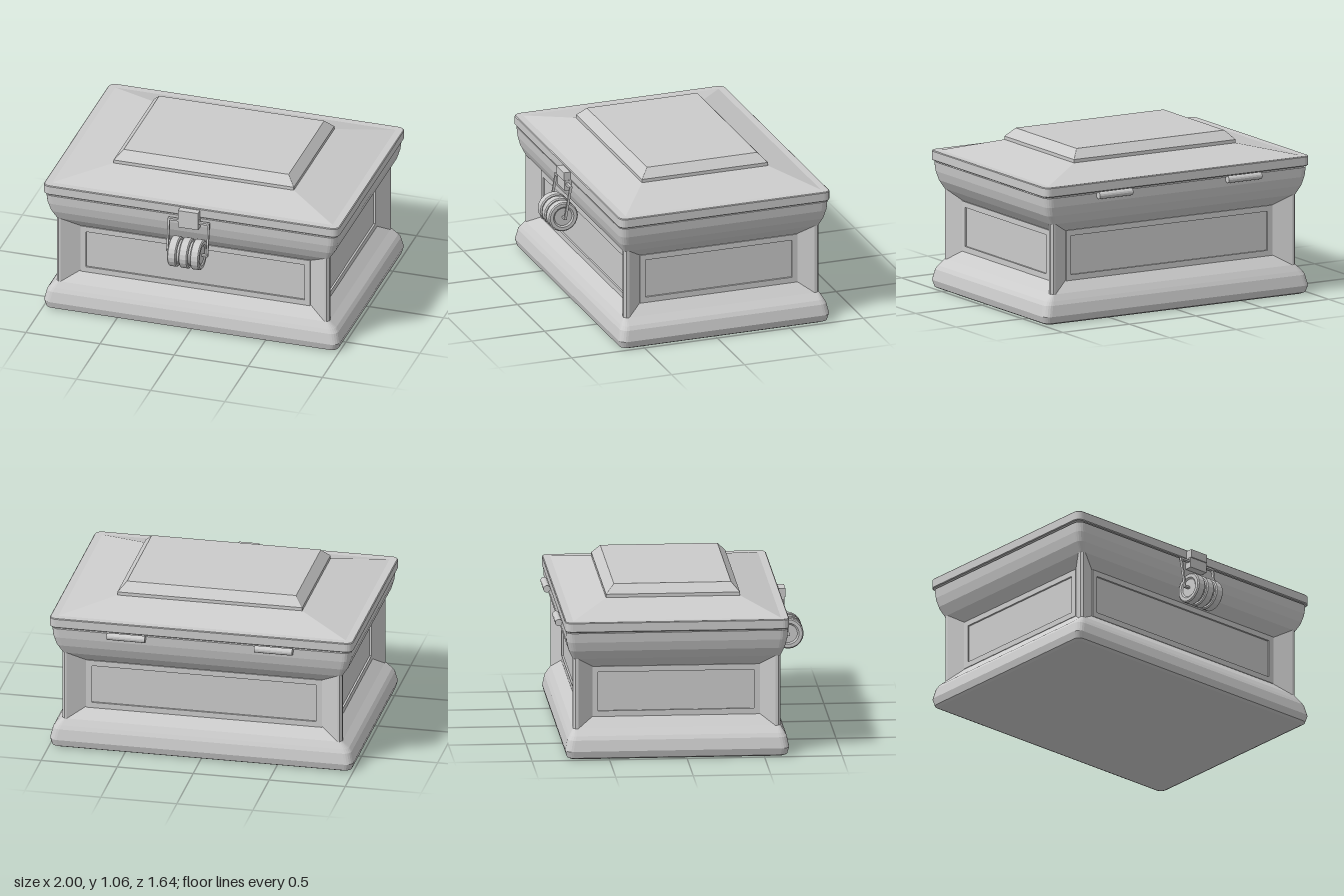
import * as THREE from 'three';

const Z0 = -0.06; // middle of the chest; the lock hangs further forward
const mat = new THREE.MeshStandardMaterial({ color: 0xcccccc, flatShading: true });
const smoothMat = new THREE.MeshStandardMaterial({ color: 0xcccccc });

function add(parent, name, geometry, x = 0, y = 0, z = 0, material = mat) {
  const mesh = new THREE.Mesh(geometry, material);
  mesh.name = name;
  mesh.position.set(x, y, z);
  parent.add(mesh);
  return mesh;
}

// Rounded rectangle as a loop of points at one height
function roundedLoop([hx, hz, y, r]) {
  const points = [], steps = 5;
  const corners = [[1, 1], [-1, 1], [-1, -1], [1, -1]];
  corners.forEach(([sx, sz], c) => {
    for (let i = 0; i <= steps; i++) {
      const a = (c + i / steps) * Math.PI / 2;
      points.push([sx * (hx - r) + r * Math.cos(a), y, sz * (hz - r) + r * Math.sin(a)]);
    }
  });
  return points;
}

// Moulding made from [half width, half depth, height, corner radius] sections
function moulding(sections) {
  const loops = sections.map(roundedLoop), n = loops[0].length, pos = [];
  const tri = (a, b, c) => pos.push(...a, ...b, ...c);
  const first = loops[0], last = loops[loops.length - 1];
  for (let i = 0; i < n; i++) {
    const j = (i + 1) % n;
    for (let k = 0; k < loops.length - 1; k++) {
      const lo = loops[k], hi = loops[k + 1];
      tri(lo[i], hi[i], hi[j]);
      tri(lo[i], hi[j], lo[j]);
    }
    tri([0, first[0][1], 0], first[i], first[j]);
    tri([0, last[0][1], 0], last[j], last[i]);
  }
  const g = new THREE.BufferGeometry();
  g.setAttribute('position', new THREE.Float32BufferAttribute(pos, 3));
  g.computeVertexNormals();
  return g;
}

// Plan of the body: chamfered corner posts around four recessed walls
function bodyPlan() {
  const X = 0.92, Z = 0.67, d = 0.07, r = 0.015;
  const quarter = [[X - d, 0], [X - d, 0.53], [X, 0.635], [X, Z - r], [X - r, Z], [0.89, Z], [0.77, Z - d], [0, Z - d]];
  const flip = (sx, sz, rev) => {
    const p = quarter.map(([x, z]) => new THREE.Vector2(sx * x, sz * z));
    return rev ? p.reverse().slice(0, -1) : p.slice(0, -1);
  };
  return new THREE.Shape([...flip(1, 1), ...flip(-1, 1, true), ...flip(-1, -1), ...flip(1, -1, true)]);
}

// Thin border standing proud of a recessed wall
function panelFrame(hw, hh, border) {
  const rect = (Type, w, h) => new Type([[-w, -h], [w, -h], [w, h], [-w, h]].map(p => new THREE.Vector2(...p)));
  const s = rect(THREE.Shape, hw, hh);
  s.holes.push(rect(THREE.Path, hw - border, hh - border));
  return new THREE.ExtrudeGeometry(s, { depth: 0.012, bevelEnabled: false });
}

export function createModel() {
  const model = new THREE.Group();
  model.name = 'chest';
  const chest = new THREE.Group();
  chest.name = 'box';
  chest.position.z = Z0;
  model.add(chest);

  add(chest, 'base', moulding([
    [0.965, 0.69, 0, 0.04], [0.985, 0.71, 0.01, 0.045], [0.998, 0.722, 0.055, 0.05],
    [0.982, 0.708, 0.125, 0.05], [0.965, 0.695, 0.15, 0.045], [0.92, 0.67, 0.19, 0.02], [0.85, 0.6, 0.262, 0.005],
  ]));
  const posts = new THREE.ExtrudeGeometry(bodyPlan(), { depth: 0.46, bevelEnabled: false });
  posts.rotateX(-Math.PI / 2);
  add(chest, 'cornerPostsAndWalls', posts, 0, 0.19, 0);
  add(chest, 'upperMoulding', moulding([
    [0.85, 0.6, 0.58, 0.005], [0.92, 0.67, 0.65, 0.02], [0.96, 0.698, 0.71, 0.045],
    [0.978, 0.712, 0.77, 0.05], [0.985, 0.716, 0.832, 0.05],
  ]));
  add(chest, 'lidSeam', moulding([[0.965, 0.695, 0.83, 0.04], [0.965, 0.695, 0.845, 0.04]]));

  // Panel borders on all four walls
  for (const s of [1, -1]) {
    const long = add(chest, 'longPanelFrame', panelFrame(0.775, 0.165, 0.037), 0, 0.42, s * 0.6);
    const short = add(chest, 'shortPanelFrame', panelFrame(0.54, 0.165, 0.037), s * 0.85, 0.42, 0);
    long.rotation.y = s > 0 ? 0 : Math.PI;
    short.rotation.y = s * Math.PI / 2;
  }

  add(chest, 'lid', moulding([
    [0.992, 0.716, 0.84, 0.04], [0.997, 0.722, 0.845, 0.045], [0.997, 0.722, 0.9, 0.045],
    [0.992, 0.717, 0.905, 0.04], [0.945, 0.67, 0.905, 0.004], [0.608, 0.432, 0.98, 0.002],
    [0.608, 0.432, 1.002, 0.002], [0.556, 0.378, 1.06, 0.002],
  ]));

  // Hinge barrels at the back
  for (const s of [1, -1]) {
    const barrel = new THREE.CylinderGeometry(0.023, 0.023, 0.25, 14);
    barrel.rotateZ(Math.PI / 2);
    add(chest, 'hinge', barrel, s * 0.485, 0.82, -0.737);
  }

  // Hasp and hanging combination lock
  const lock = new THREE.Group();
  lock.name = 'lock';
  model.add(lock);
  add(lock, 'lidHasp', new THREE.BoxGeometry(0.135, 0.055, 0.055), 0, 0.867, 0.68);
  add(lock, 'bodyHasp', new THREE.BoxGeometry(0.135, 0.068, 0.05), 0, 0.804, 0.677);
  add(lock, 'shackleTop', new THREE.BoxGeometry(0.28, 0.014, 0.02), 0, 0.815, 0.685);
  for (const s of [1, -1]) {
    const arm = add(lock, 'shackleArm', new THREE.BoxGeometry(0.012, 0.225, 0.016), s * 0.134, 0.71, 0.703);
    arm.rotation.x = -0.17;
  }
  add(lock, 'shackleAxle', new THREE.BoxGeometry(0.28, 0.014, 0.018), 0, 0.605, 0.722);

  // Dished dials on a shared drum
  const dialProfile = [[0, -0.022], [0.06, -0.022], [0.07, -0.03], [0.092, -0.03], [0.1, -0.023],
    [0.1, 0.023], [0.092, 0.03], [0.07, 0.03], [0.06, 0.022], [0, 0.022]].map(p => new THREE.Vector2(...p));
  for (const x of [-0.077, 0, 0.077]) {
    const dial = new THREE.LatheGeometry(dialProfile, 20);
    dial.rotateZ(Math.PI / 2);
    add(lock, 'dial', dial, x, 0.605, 0.723);
  }
  const drum = new THREE.CylinderGeometry(0.08, 0.08, 0.16, 20);
  drum.rotateZ(Math.PI / 2);
  add(lock, 'drum', drum, 0, 0.605, 0.723, smoothMat);

  return model;
}
